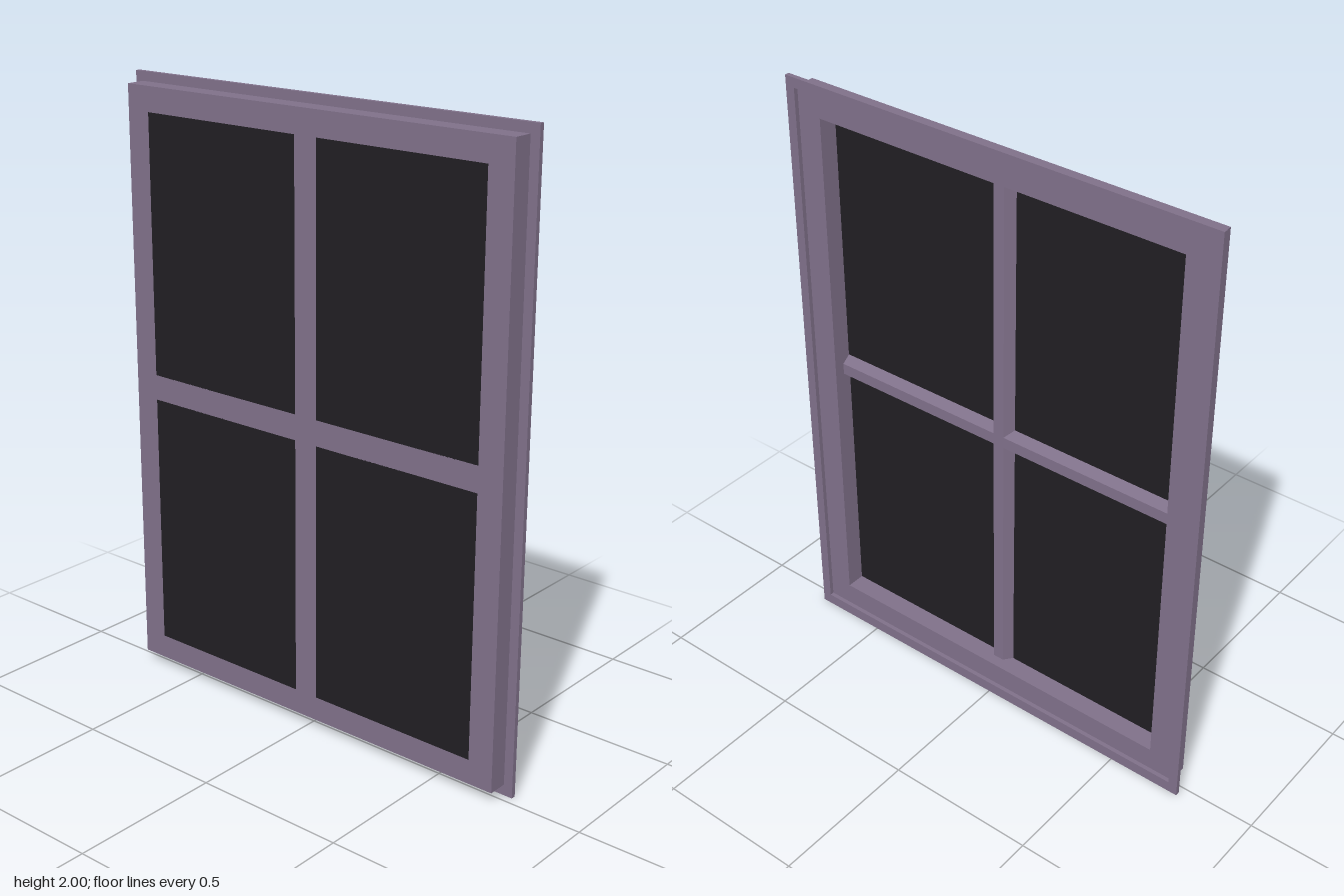
import * as THREE from 'three';

const frameMat = new THREE.MeshStandardMaterial({ color: 0x7f7089, flatShading: true });
const glassMat = new THREE.MeshStandardMaterial({ color: 0x201e22, flatShading: true });

const MID = 1.0025;               // height of the window centre
const OPEN_W = 0.635, OPEN_H = 0.887; // half size of the opening
const BACK = -0.04;

const rect = (Type, w, h, cy) => new Type([
  new THREE.Vector2(-w, cy - h), new THREE.Vector2(w, cy - h),
  new THREE.Vector2(w, cy + h), new THREE.Vector2(-w, cy + h),
]);

// Rectangular ring standing in the yz plane, from x0 to x1
function ring(name, outer, inner, x0, x1) {
  const shape = rect(THREE.Shape, ...outer);
  shape.holes.push(rect(THREE.Path, ...inner));
  const geo = new THREE.ExtrudeGeometry(shape, { depth: x1 - x0, bevelEnabled: false });
  geo.rotateY(Math.PI / 2).translate(x0, 0, 0);
  const mesh = new THREE.Mesh(geo, frameMat);
  mesh.name = name;
  return mesh;
}

// Glazing bar with sloped sides, centred on the origin and running along z
function glazingBar(name, length) {
  const profile = new THREE.Shape([
    new THREE.Vector2(BACK, -0.042), new THREE.Vector2(-0.01, -0.019),
    new THREE.Vector2(-0.01, 0.019), new THREE.Vector2(BACK, 0.042),
  ]);
  const geo = new THREE.ExtrudeGeometry(profile, { depth: length, bevelEnabled: false });
  geo.translate(0, 0, -length / 2);
  const mesh = new THREE.Mesh(geo, frameMat);
  mesh.name = name;
  mesh.position.y = MID;
  return mesh;
}

export function createModel() {
  const window = new THREE.Group();
  window.name = 'window';

  // Deep frame and the thin raised rim around its front
  window.add(ring('frame', [0.72, 0.967, MID], [OPEN_W, OPEN_H, MID], BACK, 0.026));
  window.add(ring('outerRim', [0.75, 1, 1], [0.718, 0.965, MID], 0.025, 0.04));

  // Crossing glazing bars
  const vertical = glazingBar('verticalBar', OPEN_H * 2);
  vertical.rotation.x = Math.PI / 2;
  window.add(glazingBar('horizontalBar', OPEN_W * 2), vertical);

  // Four panes, flush with the back
  const w = OPEN_W - 0.041, h = OPEN_H - 0.041;
  const paneGeo = new THREE.BoxGeometry(0.002, h, w);
  for (const sy of [-1, 1]) for (const sz of [-1, 1]) {
    const pane = new THREE.Mesh(paneGeo, glassMat);
    pane.name = (sy > 0 ? 'upper' : 'lower') + (sz > 0 ? 'Front' : 'Back') + 'Pane';
    pane.position.set(BACK + 0.001, MID + sy * (0.041 + h / 2), sz * (0.041 + w / 2));
    window.add(pane);
  }
  return window;
}
